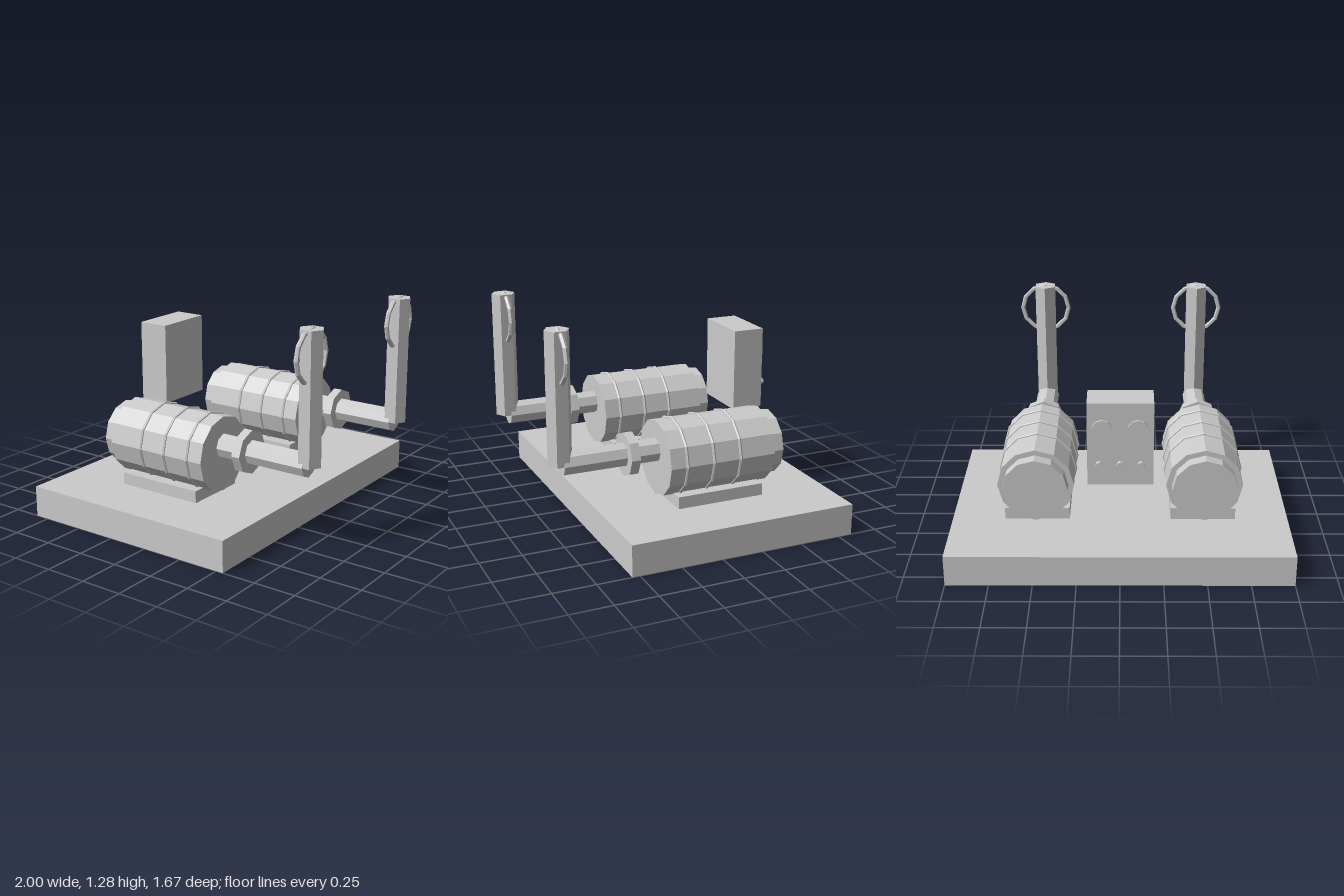
import * as THREE from 'three';

const material = new THREE.MeshStandardMaterial({ color: 0xcccccc, flatShading: true });

function add(parent, name, geometry, x, y, z) {
  const mesh = new THREE.Mesh(geometry, material);
  mesh.name = name;
  mesh.position.set(x, y, z);
  parent.add(mesh);
  return mesh;
}

// Cylinder lying along z between two z values
function addBarrel(parent, name, radius, sides, x, y, zBack, zFront) {
  const geometry = new THREE.CylinderGeometry(radius, radius, zFront - zBack, sides).rotateX(Math.PI / 2);
  return add(parent, name, geometry, x, y, (zBack + zFront) / 2);
}

// One motor with its bent pipe and lifting ring
function createMotor(name, x) {
  const motor = new THREE.Group();
  motor.name = name;
  motor.position.x = x;

  add(motor, 'mountingPad', new THREE.BoxGeometry(0.384, 0.072, 0.538), 0, 0.234, -0.145);
  addBarrel(motor, 'motorBody', 0.224, 12, 0, 0.456, -0.476, 0.184);
  addBarrel(motor, 'endCap', 0.191, 12, 0, 0.458, -0.55, -0.476);
  for (const z of [0.083, -0.084, -0.253]) {
    add(motor, 'coolingRib', new THREE.TorusGeometry(0.225, 0.01, 6, 12), 0, 0.456, z);
  }

  // Pipe: horizontal run, collar, upright
  addBarrel(motor, 'pipe', 0.072, 8, 0, 0.505, 0.18, 0.758);
  addBarrel(motor, 'collar', 0.13, 8, 0, 0.505, 0.329, 0.383);
  add(motor, 'uprightPipe', new THREE.CylinderGeometry(0.072, 0.072, 0.768, 6), 0, 0.888, 0.763);
  add(motor, 'handRing', new THREE.TorusGeometry(0.149, 0.014, 6, 12), 0, 1.122, 0.762);
  return motor;
}

// Box with gauges and knobs on its back
function createControlBox() {
  const box = new THREE.Group();
  box.name = 'controlBox';
  add(box, 'housing', new THREE.BoxGeometry(0.37, 0.496, 0.191), -0.002, 0.812, -0.576);
  for (const x of [-0.1, 0.1]) addBarrel(box, 'gauge', 0.058, 10, x, 0.908, -0.69, -0.677);
  for (const x of [-0.117, 0, 0.117]) addBarrel(box, 'knob', 0.018, 8, x, 0.703, -0.715, -0.69);
  return box;
}

export function createModel() {
  const model = new THREE.Group();
  model.name = 'twinMotorStation';
  add(model, 'basePlate', new THREE.BoxGeometry(2, 0.187, 1.38), 0, 0.0935, -0.145);
  model.add(createMotor('leftMotor', 0.492), createMotor('rightMotor', -0.492));
  model.add(createControlBox());
  return model;
}
